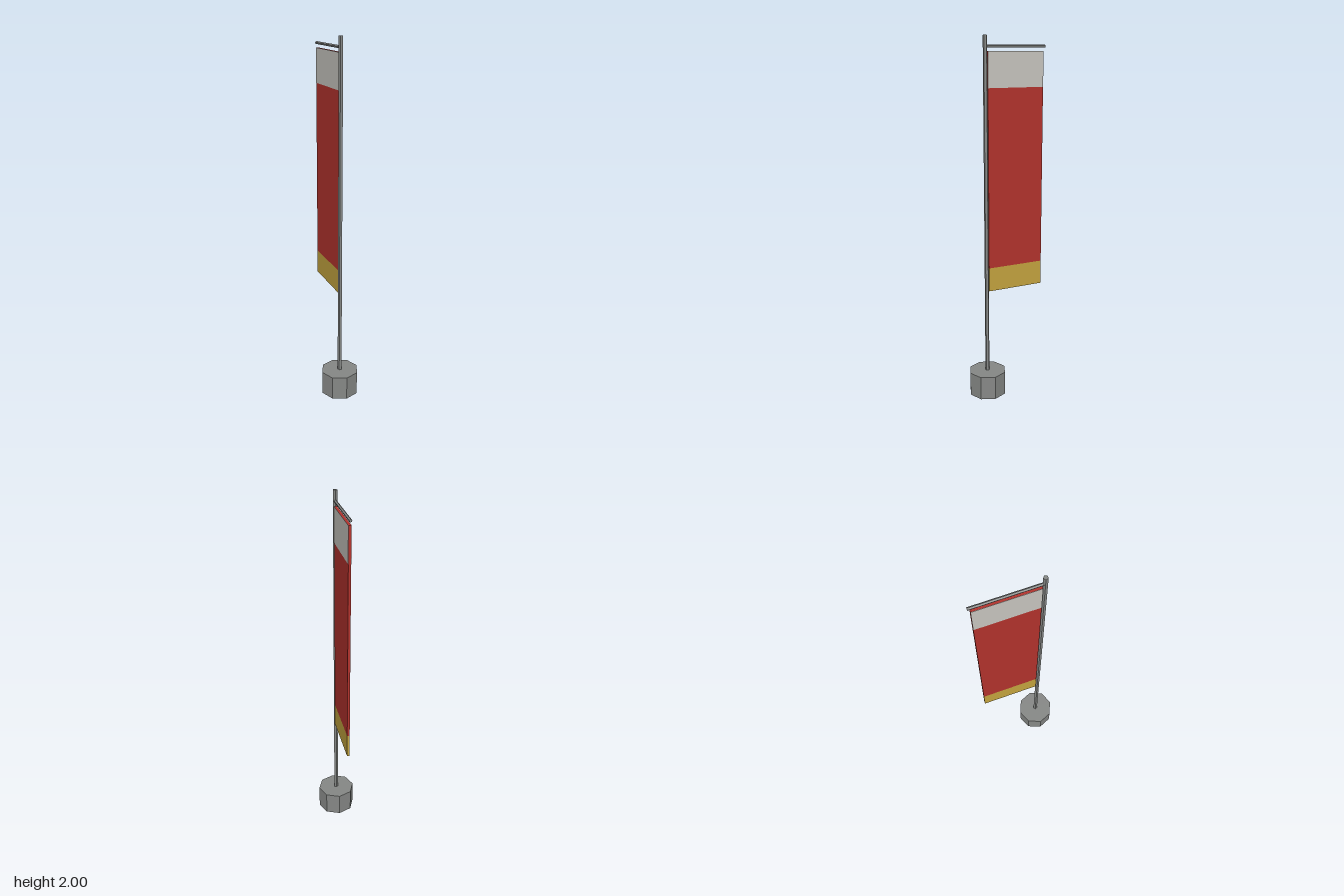
import * as THREE from 'three';

const material = (name, color, flatShading = false) => {
  const m = new THREE.MeshStandardMaterial({ color, flatShading });
  m.name = name;
  return m;
};

export function createModel() {
  const group = new THREE.Group();
  group.name = 'bannerStand';

  const grey = material('stone grey', 0x868886, true);
  const red = material('banner red', 0xb3332d);
  const white = material('band white', 0xc8c6c0);
  const gold = material('hem gold', 0xc4a43f);

  const add = (name, geometry, mat, x, y, z) => {
    const mesh = new THREE.Mesh(geometry, mat);
    mesh.name = name;
    mesh.position.set(x, y, z);
    group.add(mesh);
    return mesh;
  };

  const poleZ = 0.12;

  // Octagonal foot and five-sided pole
  add('base', new THREE.CylinderGeometry(0.107, 0.107, 0.135, 8), grey, 0, 0.0675, poleZ);
  const pole = add('pole', new THREE.CylinderGeometry(0.012, 0.012, 1.9, 5), grey, 0, 1.05, poleZ);
  pole.rotation.y = Math.PI;

  // Crossbar reaching back from the pole, ridge up
  const bar = add('crossbar', new THREE.CylinderGeometry(0.008, 0.008, 0.35, 5), grey, 0, 1.945, -0.055);
  bar.rotation.x = -Math.PI / 2;

  // Hanging cloth with a gold hem
  const width = 0.326, clothZ = -0.055, thick = 0.014;
  add('cloth', new THREE.BoxGeometry(thick, 1.17, width), red, 0, 1.335, clothZ);
  add('hem', new THREE.BoxGeometry(thick, 0.135, width), gold, 0, 0.6825, clothZ);

  // White band on both faces of the cloth
  for (const side of [-1, 1]) {
    add('topBand', new THREE.BoxGeometry(0.001, 0.187, width), white,
      side * (thick / 2 + 0.0005), 1.8265, clothZ);
  }

  return group;
}
